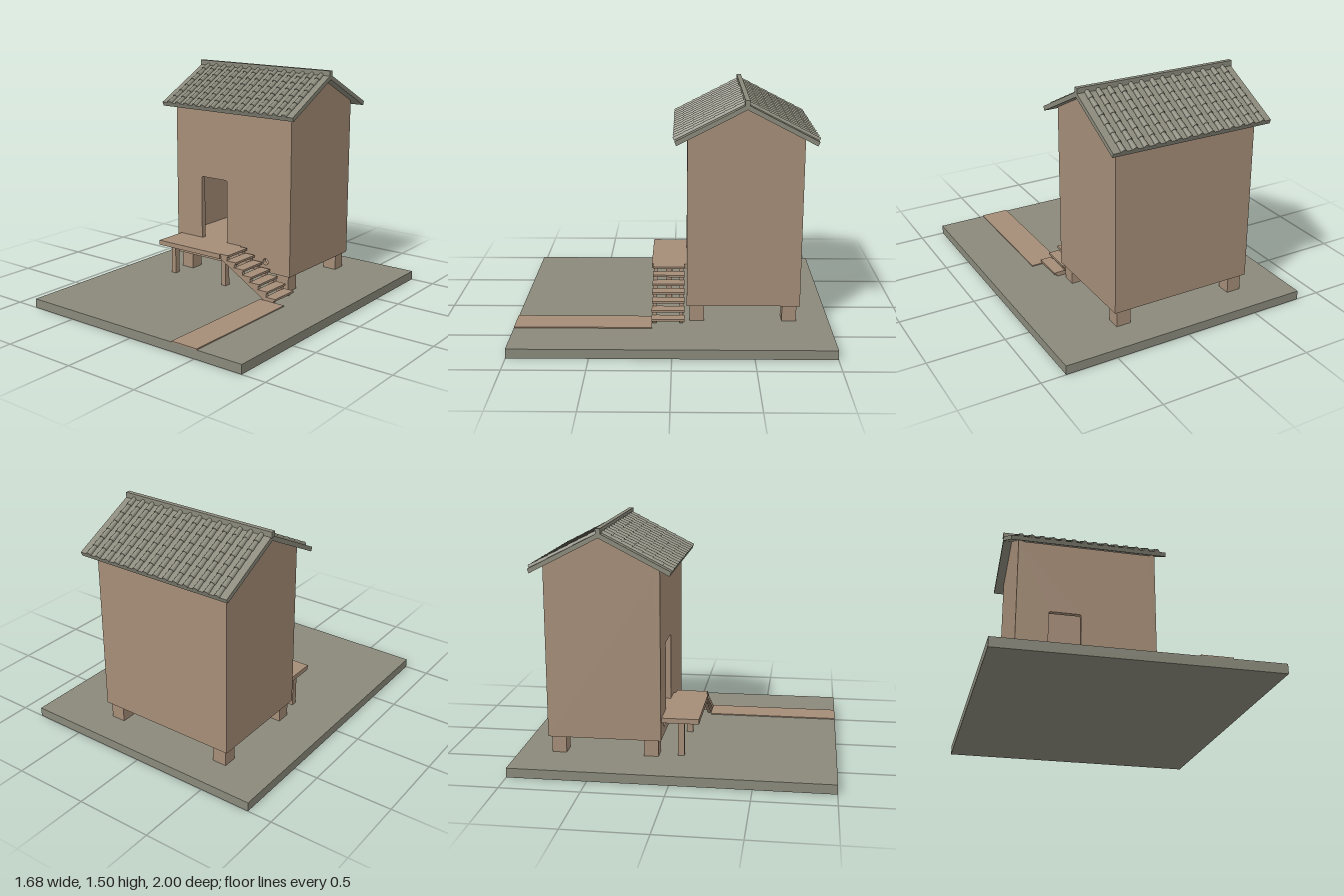
import * as THREE from 'three';
import { mergeGeometries } from 'three/addons/utils/BufferGeometryUtils.js';

export function createModel() {
  const model = new THREE.Group();
  const earth = new THREE.MeshStandardMaterial({ color: 0x8a897b });
  earth.name = 'grey stone';
  const timber = new THREE.MeshStandardMaterial({ color: 0xa58d77 });
  timber.name = 'brown timber';

  function add(name, geometry, material, parent = model) {
    const mesh = new THREE.Mesh(geometry, material);
    mesh.name = name;
    parent.add(mesh);
    return mesh;
  }
  // Box given by its limits on each axis
  function box(name, [x0, x1], [y0, y1], [z0, z1], material = timber, parent = model) {
    const g = new THREE.BoxGeometry(x1 - x0, y1 - y0, z1 - z0);
    g.translate((x0 + x1) / 2, (y0 + y1) / 2, (z0 + z1) / 2);
    return add(name, g, material, parent);
  }
  const polygon = (pts) => new THREE.Shape(pts.map(([x, y]) => new THREE.Vector2(x, y)));
  // Extrude a (z, y) outline from x0 to x1
  function extrudeX(pts, x0, x1) {
    const g = new THREE.ExtrudeGeometry(polygon(pts), { depth: x1 - x0, bevelEnabled: false });
    return g.rotateY(-Math.PI / 2).translate(x1, 0, 0);
  }

  // Ground and path
  box('groundSlab', [-0.84, 0.84], [0, 0.06], [-1, 1], earth);
  box('path', [0.33, 0.52], [0.06, 0.067], [0.13, 1]);

  // Short stilts under the house
  for (const x of [-0.48, 0.34])
    for (const z of [-0.155, -0.745])
      box('stilt', [x - 0.048, x + 0.048], [0.06, 0.18], [z - 0.046, z + 0.046]);

  // Hollow house: front wall with doorway and two round vents
  const house = new THREE.Group();
  house.name = 'house';
  model.add(house);
  const wall = 0.035, left = -0.55, right = 0.41, front = -0.09, back = -0.81;
  const face = polygon([[left, 0.17], [right, 0.17], [right, 1.255], [left, 1.255]]);
  const r = 0.015;
  const door = new THREE.Path();
  door.moveTo(-0.33, 0.31);
  door.lineTo(-0.33, 0.75 - r);
  door.quadraticCurveTo(-0.33, 0.75, -0.33 + r, 0.75);
  door.lineTo(-0.11 - r, 0.75);
  door.quadraticCurveTo(-0.11, 0.75, -0.11, 0.75 - r);
  door.lineTo(-0.11, 0.31);
  door.closePath();
  face.holes.push(door);
  for (const x of [-0.405, 0.215]) {
    const vent = new THREE.Path();
    vent.absarc(x, 0.24, 0.022, 0, Math.PI * 2, true);
    face.holes.push(vent);
  }
  const faceGeo = new THREE.ExtrudeGeometry(face, { depth: wall, bevelEnabled: false, curveSegments: 10 });
  add('frontWall', faceGeo.translate(0, 0, front - wall), timber, house);
  box('backWall', [left, right], [0.17, 1.255], [back, back + wall], timber, house);
  const gable = [[back, 0.17], [front, 0.17], [front, 1.262], [-0.45, 1.447], [back, 1.262]];
  add('gableWall', extrudeX(gable, left, left + wall), timber, house);
  add('gableWall', extrudeX(gable, right - wall, right), timber, house);
  box('floor', [left + wall, right - wall], [0.285, 0.31], [back + wall, front - wall], timber, house);
  box('underside', [left + wall, right - wall], [0.17, 0.2], [back + wall, front - wall], timber, house);

  // Roof: chevron slab, ridge cap and overlapping half-round tiles
  const roof = new THREE.Group();
  roof.name = 'roof';
  roof.position.set(-0.07, 0, -0.45);
  model.add(roof);
  const slope = 0.515, angle = Math.atan(slope);
  const under = (d) => 1.445 - slope * d;
  const over = (d) => 1.477 - slope * d;
  add('roofSlab', extrudeX([
    [-0.428, under(0.428)], [0, 1.445], [0.428, under(0.428)],
    [0.439, over(0.439)], [0, 1.477], [-0.439, over(0.439)],
  ], -0.54, 0.54), earth, roof);
  box('ridgeCap', [-0.545, 0.54], [1.465, 1.503], [-0.015, 0.015], earth, roof);

  const rows = 7, columns = 14, length = 0.439 / Math.cos(angle), step = length / rows;
  const tiles = [];
  for (let c = 0; c < columns; c++) {
    for (let i = 0; i < rows; i++) {
      const tile = new THREE.CylinderGeometry(0.0145, 0.0185, step + 0.006, 8, 1, false, -Math.PI / 2, Math.PI);
      tile.translate((c - (columns - 1) / 2) * 0.073, -(i + 0.5) * step, 0);
      tiles.push(tile);
    }
  }
  const tileGeo = mergeGeometries(tiles).rotateX(angle - Math.PI / 2).translate(0, 1.477, 0);
  add('frontTiles', tileGeo, earth, roof);
  add('backTiles', tileGeo, earth, roof).rotation.y = Math.PI;

  // Porch platform on two posts
  box('platform', [-0.52, 0.01], [0.28, 0.312], [front, 0.145]);
  for (const x of [-0.475, -0.032])
    box('platformPost', [x - 0.018, x + 0.018], [0.06, 0.28], [0.01, 0.05]);

  // Stairs: seven treads on two sawtooth stringers
  const stairs = new THREE.Group();
  stairs.name = 'stairs';
  model.add(stairs);
  const run = 0.0637, rise = 0.0365, thick = 0.014;
  const outline = [[0.37, 0.06], [0.43, 0.06]];
  for (let i = 6; i >= 0; i--) {
    const x = i * run, top = 0.312 - i * rise - thick;
    outline.push([x + run * 0.9, top], [x, top]);
  }
  outline.push([0.005, 0.275], [0.03, 0.262]);
  for (const z of [-0.068, 0.104]) {
    const g = new THREE.ExtrudeGeometry(polygon(outline), { depth: 0.025, bevelEnabled: false });
    add('stringer', g.translate(0, 0, z), timber, stairs);
  }
  for (let i = 0; i < 7; i++) {
    const x = i * run, top = 0.312 - i * rise;
    box('tread', [i ? x - 0.008 : 0.01, x + 0.072], [top - thick, top], [-0.075, 0.135], timber, stairs);
  }

  return model;
}
